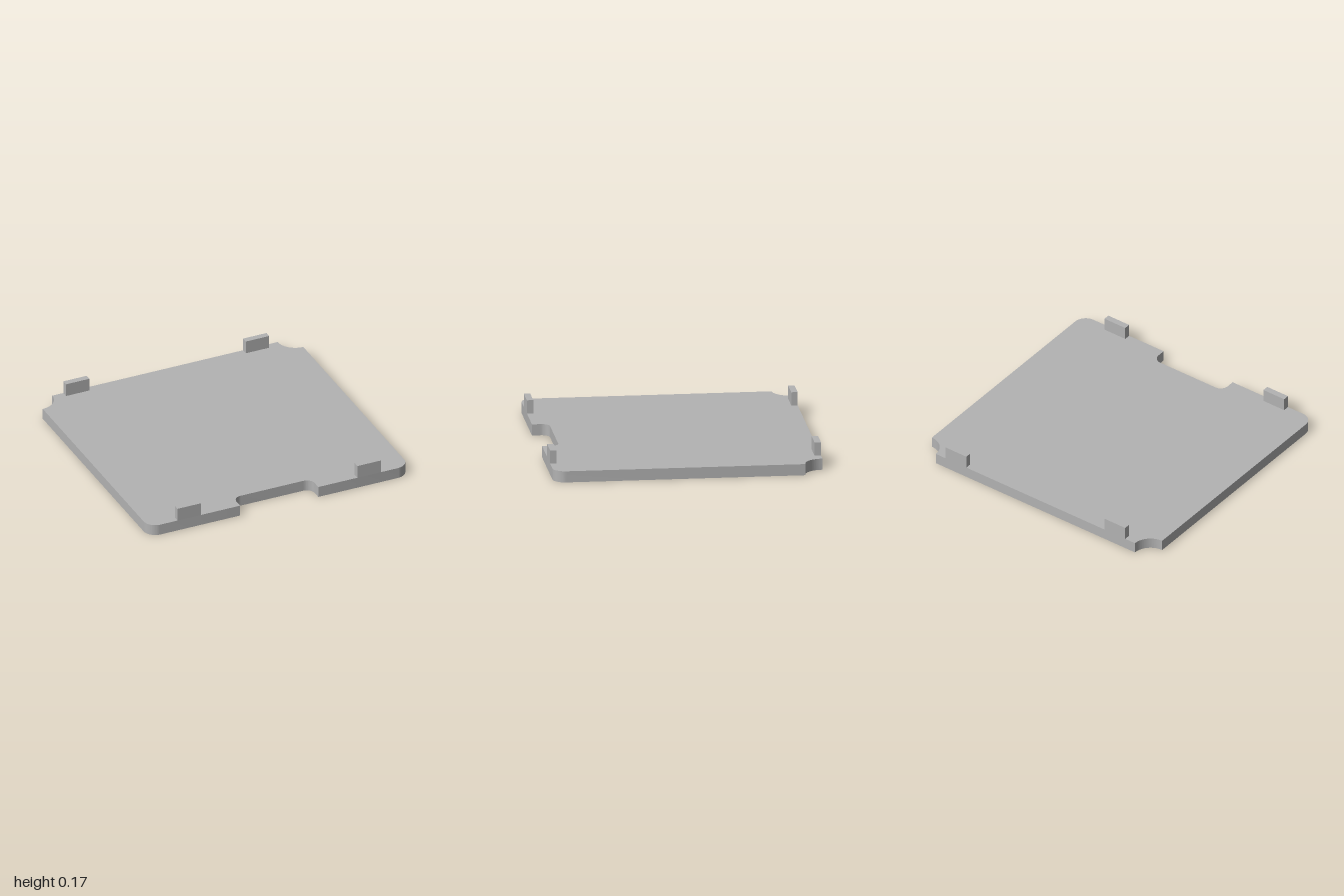
import * as THREE from 'three';
import { toCreasedNormals } from 'three/addons/utils/BufferGeometryUtils.js';

const HALF_W = 1, HALF_D = 0.95, THICK = 0.08;

// Plate outline; shape y points to the back (-z) once laid flat
function plateOutline() {
  const corner = 0.09, bite = 0.135, slotX = 0.3, slotY = -0.83, slotR = 0.06;
  const s = new THREE.Shape();
  // front edge with the finger slot
  s.moveTo(-HALF_W + corner, -HALF_D);
  s.lineTo(-slotX, -HALF_D);
  s.lineTo(-slotX, slotY - slotR);
  s.absarc(-slotX + slotR, slotY - slotR, slotR, Math.PI, Math.PI / 2, true);
  s.absarc(slotX - slotR, slotY - slotR, slotR, Math.PI / 2, 0, true);
  s.lineTo(slotX, -HALF_D);
  // rounded front corner, then concave back corners
  s.absarc(HALF_W - corner, -HALF_D + corner, corner, -Math.PI / 2, 0, false);
  s.absarc(HALF_W, HALF_D, bite, -Math.PI / 2, -Math.PI, true);
  s.absarc(-HALF_W, HALF_D, bite, 0, -Math.PI / 2, true);
  s.absarc(-HALF_W + corner, -HALF_D + corner, corner, Math.PI, Math.PI * 1.5, false);
  return s;
}

export function createModel() {
  const model = new THREE.Group();
  model.name = 'coverPlate';
  const grey = new THREE.MeshStandardMaterial({ color: 0xb3b3b3 });
  grey.name = 'plainGrey';

  // Flat base plate
  const geometry = new THREE.ExtrudeGeometry(plateOutline(), {
    depth: THICK, bevelEnabled: false, curveSegments: 16,
  });
  geometry.rotateX(-Math.PI / 2);
  const plate = new THREE.Mesh(toCreasedNormals(geometry, Math.PI / 6), grey);
  plate.name = 'plate';
  model.add(plate);

  // Four upright tabs, flush with the front and back edges
  const tabW = 0.18, tabH = 0.095, tabD = 0.045;
  const tabGeometry = new THREE.BoxGeometry(tabW, tabH, tabD);
  for (const [zSide, zName] of [[1, 'front'], [-1, 'back']]) {
    for (const [xSide, xName] of [[1, 'Left'], [-1, 'Right']]) {
      const tab = new THREE.Mesh(tabGeometry, grey);
      tab.name = `${zName}${xName}Tab`;
      tab.position.set(xSide * 0.69, THICK + tabH / 2, zSide * (HALF_D - tabD / 2));
      model.add(tab);
    }
  }
  return model;
}
